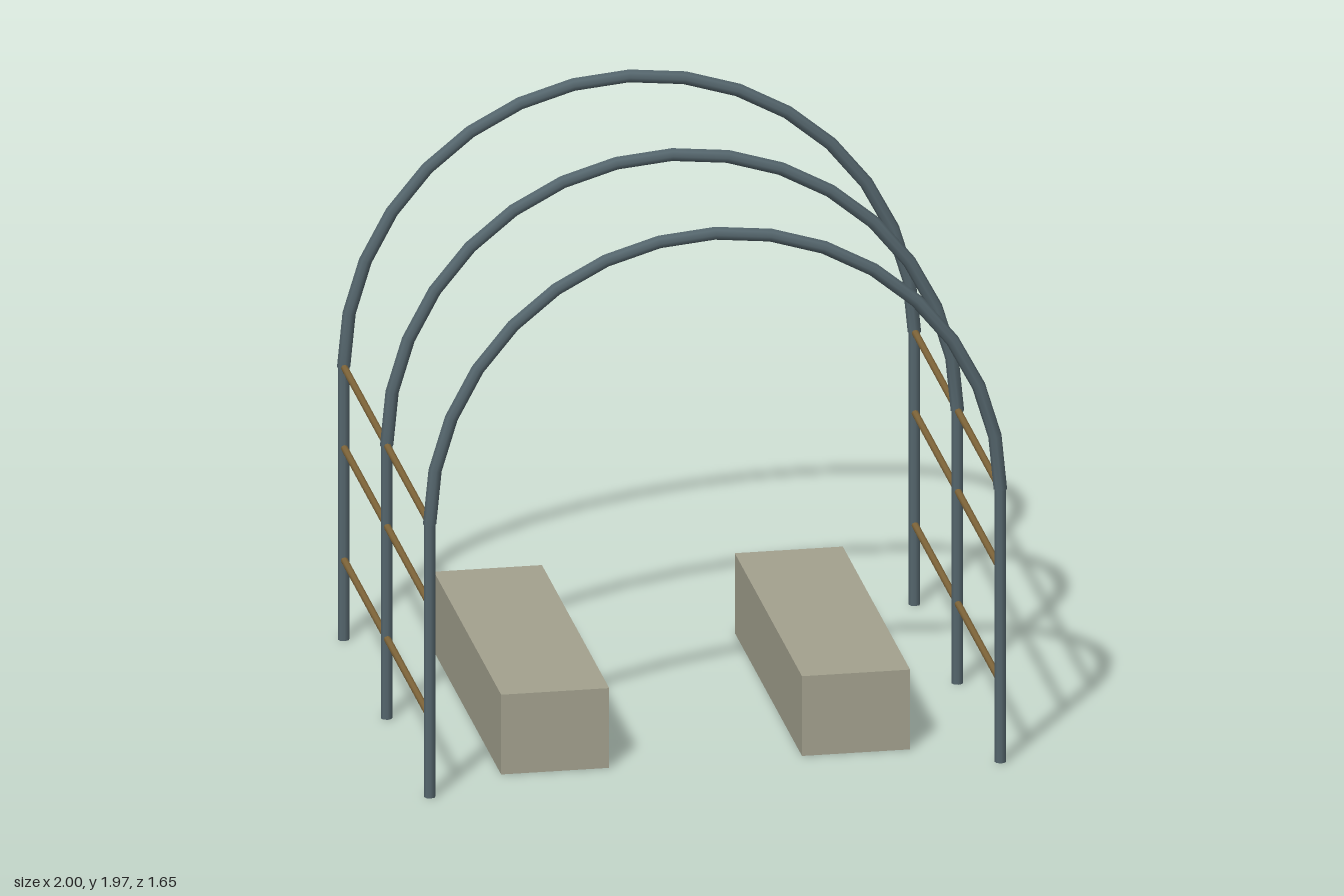
import * as THREE from 'three';

export function createModel() {
  const group = new THREE.Group();
  const steel = new THREE.MeshStandardMaterial({ color: 0x55666d });
  const wood = new THREE.MeshStandardMaterial({ color: 0x80663a });
  const stone = new THREE.MeshStandardMaterial({ color: 0xa3a18e });

  const R = 0.977;      // arch radius, also the half spacing of the posts
  const postTop = 0.974;

  const add = (name, geometry, material, x, y, z, parent = group) => {
    const mesh = new THREE.Mesh(geometry, material);
    mesh.name = name;
    mesh.position.set(x, y, z);
    parent.add(mesh);
    return mesh;
  };

  // Three hoops: two posts joined by a half-circle tube
  const postGeo = new THREE.CylinderGeometry(0.02, 0.02, postTop, 8);
  const archGeo = new THREE.TorusGeometry(R, 0.023, 8, 16, Math.PI);
  for (const [label, z] of [['front', 0.803], ['middle', 0], ['back', -0.803]]) {
    const hoop = new THREE.Group();
    hoop.name = label + 'Hoop';
    hoop.position.z = z;
    group.add(hoop);
    add('arch', archGeo, steel, 0, postTop, 0, hoop);
    add('leftPost', postGeo, steel, R, postTop / 2, 0, hoop);
    add('rightPost', postGeo, steel, -R, postTop / 2, 0, hoop);
  }

  // Side rails and benches, mirrored left and right
  const railGeo = new THREE.CylinderGeometry(0.0125, 0.0125, 1.606, 8);
  railGeo.rotateX(Math.PI / 2);
  const benchGeo = new THREE.BoxGeometry(0.37, 0.285, 1.256);
  for (const [label, side] of [['left', 1], ['right', -1]]) {
    [['Lower', 0.287], ['Middle', 0.688], ['Upper', 0.976]].forEach(([level, y]) =>
      add(label + level + 'Rail', railGeo, wood, side * R, y, 0));
    add(label + 'Bench', benchGeo, stone, side * 0.515, 0.1425, 0);
  }
  return group;
}
